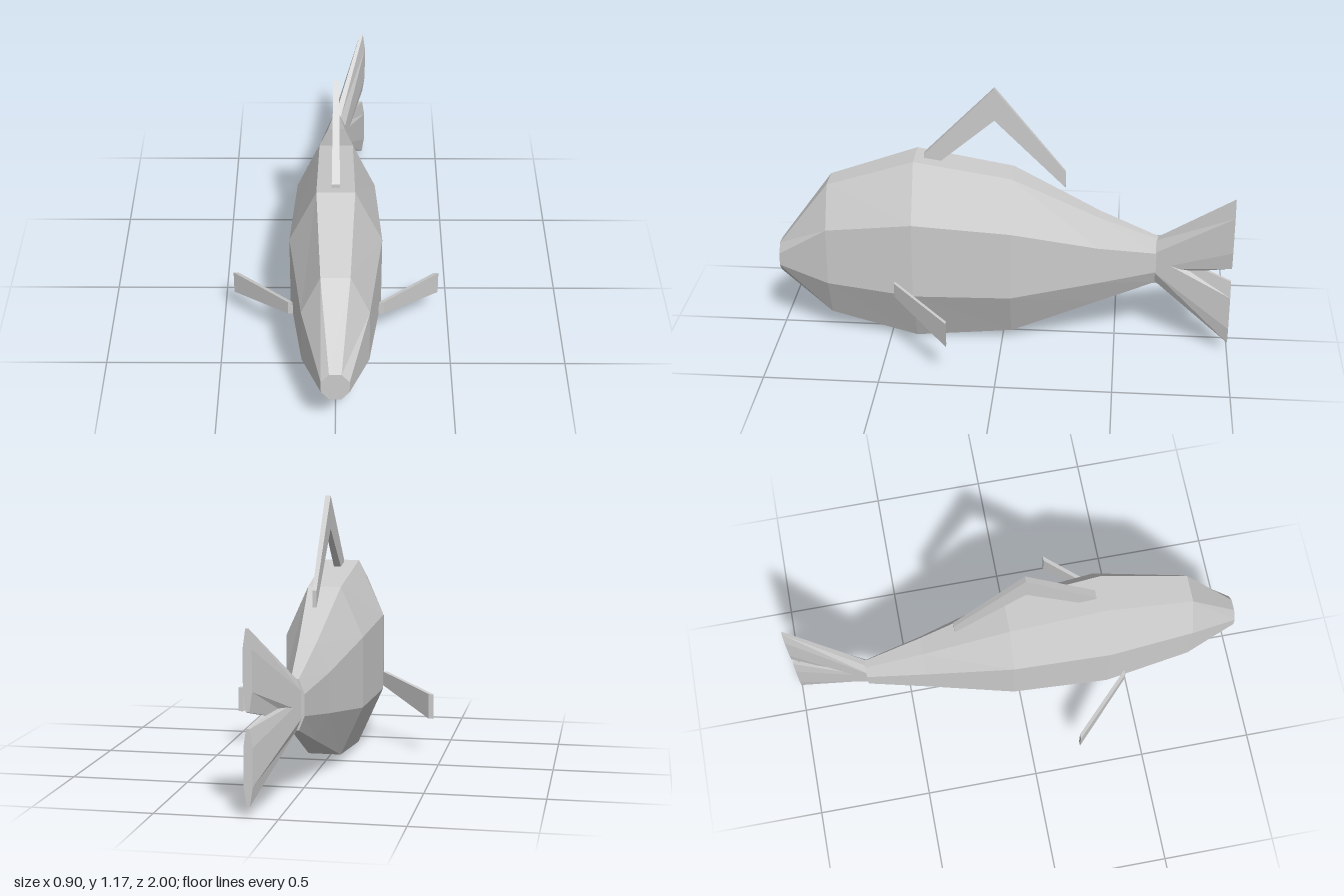
import * as THREE from 'three';

const grey = new THREE.MeshStandardMaterial({ color: 0xcccccc, flatShading: true });
grey.name = 'pale grey';

// Octagonal section, counter-clockwise seen from the front.
// cx: centre x, wide / narrow: half widths at the sides and at top and bottom
function octagon(z, cx, wide, narrow, bottom, low, high, top) {
  return [
    [narrow, bottom], [wide, low], [wide, high], [narrow, top],
    [-narrow, top], [-wide, high], [-wide, low], [-narrow, bottom],
  ].map(([x, y]) => new THREE.Vector3(cx + x, y, z));
}

// Rectangular section, counter-clockwise seen from the front
function rect(z, cx, half, bottom, top) {
  return [[half, bottom], [half, top], [-half, top], [-half, bottom]]
    .map(([x, y]) => new THREE.Vector3(cx + x, y, z));
}

// Faceted skin over sections ordered from front to back, capped at both ends
function loft(name, rings) {
  const points = [];
  const n = rings[0].length;
  for (let i = 0; i < rings.length - 1; i++) {
    const a = rings[i], b = rings[i + 1];
    for (let j = 0; j < n; j++) {
      const k = (j + 1) % n;
      points.push(a[j], b[j], a[k], a[k], b[j], b[k]);
    }
  }
  const first = rings[0], last = rings[rings.length - 1];
  for (let j = 1; j < n - 1; j++) {
    points.push(first[0], first[j], first[j + 1]);
    points.push(last[0], last[j + 1], last[j]);
  }
  const geometry = new THREE.BufferGeometry().setFromPoints(points);
  geometry.computeVertexNormals();
  const mesh = new THREE.Mesh(geometry, grey);
  mesh.name = name;
  return mesh;
}

export function createModel() {
  const fish = new THREE.Group();
  fish.name = 'fish';

  // Body from snout to tail root
  fish.add(loft('body', [
    octagon(1.0, 0, 0.058, 0.025, 0.28, 0.32, 0.375, 0.415),
    octagon(0.77, 0, 0.14, 0.06, 0.095, 0.28, 0.54, 0.725),
    octagon(0.385, 0, 0.195, 0.08, 0.003, 0.26, 0.605, 0.855),
    octagon(-0.04, 0, 0.17, 0.072, 0.04, 0.255, 0.567, 0.785),
    octagon(-0.42, 0, 0.09, 0.038, 0.185, 0.305, 0.475, 0.6),
    octagon(-0.68, 0, 0.04, 0.016, 0.285, 0.345, 0.435, 0.495),
  ]));

  // Tail lobes, overlapping at the root and swept to the left
  fish.add(loft('upperTailLobe', [
    octagon(-0.67, 0.005, 0.035, 0.014, 0.325, 0.36, 0.44, 0.49),
    octagon(-1.0, 0.118, 0.018, 0.007, 0.42, 0.5, 0.665, 0.745),
  ]));
  fish.add(loft('lowerTailLobe', [
    octagon(-0.67, 0.005, 0.035, 0.014, 0.29, 0.34, 0.415, 0.45),
    octagon(-1.0, 0.118, 0.018, 0.007, 0.05, 0.125, 0.28, 0.355),
  ]));

  // Bent back fin
  fish.add(loft('dorsalFin', [
    rect(0.345, 0, 0.017, 0.775, 0.865),
    rect(0.04, 0, 0.012, 1.03, 1.175),
    rect(-0.27, 0, 0.009, 0.725, 0.797),
  ]));

  // Side fins
  for (const side of [1, -1]) {
    fish.add(loft(side > 0 ? 'leftFin' : 'rightFin', [
      rect(0.465, side * 0.193, 0.011, 0.26, 0.325),
      rect(0.212, side * 0.44, 0.011, 0.163, 0.275),
    ]));
  }

  return fish;
}
